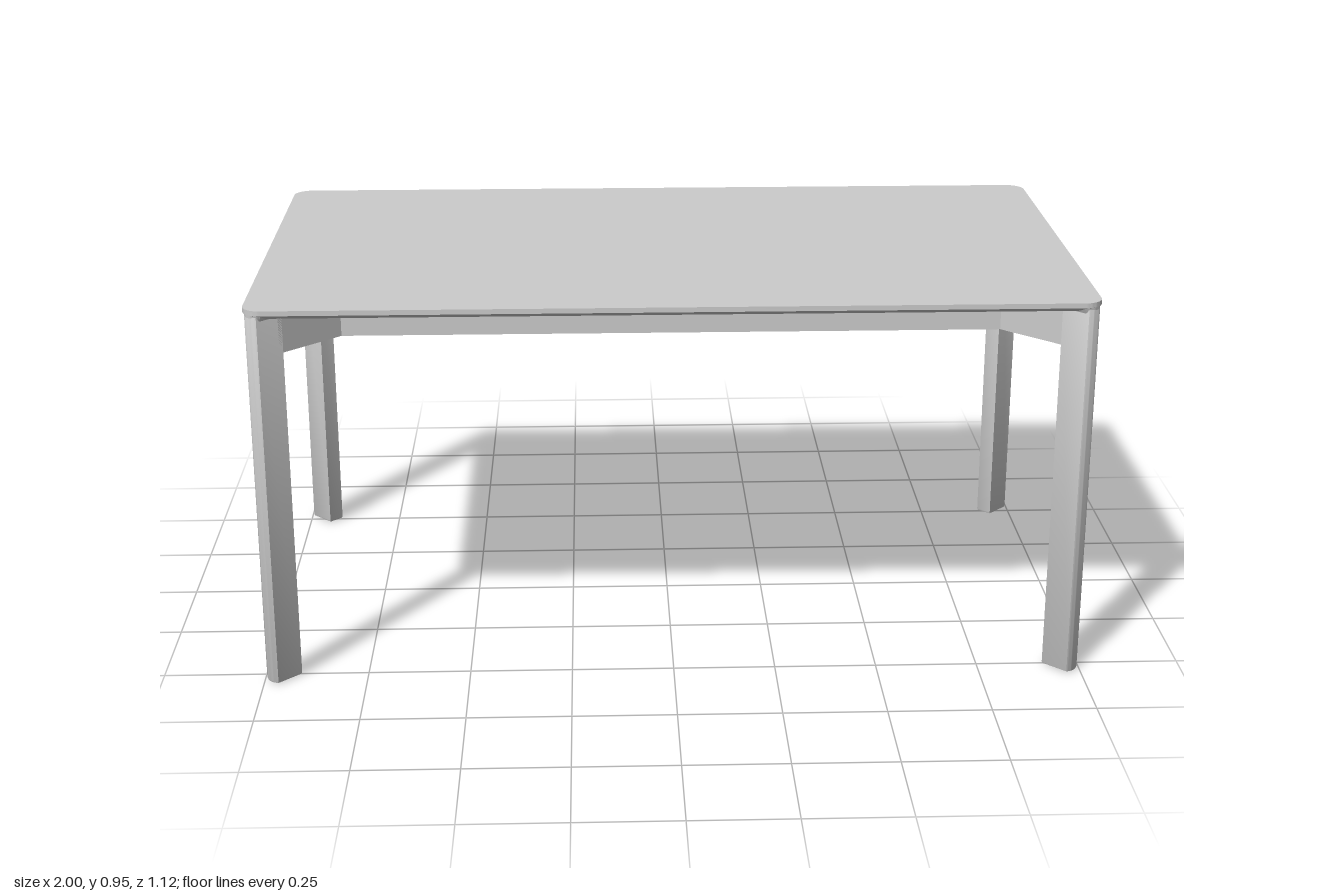
import * as THREE from 'three';
import { toCreasedNormals } from 'three/addons/utils/BufferGeometryUtils.js';

const HALF_X = 1, HALF_Z = 0.56;
const RAIL_BOTTOM = 0.832, TOP_UNDER = 0.926, TOP = 0.95;
const LEG_HALF = 0.022;
const material = new THREE.MeshStandardMaterial({ color: 0xcccccc });

// Extrude a plan shape upwards from y0 to y1
function extrudeUp(shape, y0, y1, options = {}) {
  const b = options.bevelThickness || 0;
  const geo = new THREE.ExtrudeGeometry(shape, {
    depth: y1 - y0 - 2 * b, bevelEnabled: false, curveSegments: 10, ...options,
  });
  geo.rotateX(-Math.PI / 2);
  geo.translate(0, y0 + b, 0);
  return geo;
}

// Draw the lowest ring of vertices inwards
function taperBottom(geo, sx, sz) {
  const p = geo.attributes.position;
  geo.computeBoundingBox();
  const low = geo.boundingBox.min.y + 1e-4;
  for (let i = 0; i < p.count; i++) {
    if (p.getY(i) < low) p.setXYZ(i, p.getX(i) * sx, p.getY(i), p.getZ(i) * sz);
  }
  return geo;
}

function part(name, geo) {
  const mesh = new THREE.Mesh(toCreasedNormals(geo, 0.5), material);
  mesh.name = name;
  return mesh;
}

function rectangle(Type, hx, hz) {
  return new Type([[-hx, -hz], [hx, -hz], [hx, hz], [-hx, hz]].map(([x, y]) => new THREE.Vector2(x, y)));
}

function roundedRectangle(hx, hz, r) {
  const s = new THREE.Shape();
  s.absarc(hx - r, hz - r, r, 0, Math.PI / 2);
  s.absarc(-hx + r, hz - r, r, Math.PI / 2, Math.PI);
  s.absarc(-hx + r, -hz + r, r, Math.PI, Math.PI * 1.5);
  s.absarc(hx - r, -hz + r, r, Math.PI * 1.5, Math.PI * 2);
  s.closePath();
  return s;
}

// Leg section: a plank pointing inwards along +x with a rounded outer end
function legSection(half, inner) {
  const centre = 0.0566, r = 0.036, a = Math.asin(half / r);
  const s = new THREE.Shape();
  s.moveTo(inner, -half);
  s.lineTo(inner, half);
  s.absarc(centre, 0, r, Math.PI - a, Math.PI + a);
  s.closePath();
  return s;
}

export function createModel() {
  const table = new THREE.Group();
  table.name = 'table';

  // Tabletop with an undercut edge
  const topGeo = extrudeUp(roundedRectangle(HALF_X, HALF_Z, 0.045), TOP_UNDER, TOP, { steps: 2 });
  taperBottom(topGeo, 1 - 0.02 / HALF_X, 1 - 0.02 / HALF_Z);
  table.add(part('tabletop', topGeo));

  // Inset rail frame
  const inset = 0.179, thick = 0.038;
  const frame = rectangle(THREE.Shape, HALF_X - inset, HALF_Z - inset);
  frame.holes.push(rectangle(THREE.Path, HALF_X - inset - thick, HALF_Z - inset - thick));
  table.add(part('railFrame', extrudeUp(frame, RAIL_BOTTOM, TOP_UNDER + 0.002)));

  // Corner legs, each with a diagonal arm reaching the frame
  for (const sx of [-1, 1]) {
    for (const sz of [-1, 1]) {
      const leg = new THREE.Group();
      leg.name = (sz > 0 ? 'front' : 'back') + (sx > 0 ? 'Left' : 'Right') + 'Leg';
      const post = extrudeUp(legSection(LEG_HALF, 0.101), 0, 0.936, {
        bevelEnabled: true, bevelThickness: 0.006, bevelSize: 0.006, bevelOffset: -0.006, bevelSegments: 2,
      });
      leg.add(part('legPost', post));

      // Flared head under the corner of the top
      const head = extrudeUp(legSection(0.03, 0.101), 0.922, 0.938);
      leg.add(part('legHead', taperBottom(head, 1, LEG_HALF / 0.03)));

      const arm = new THREE.BoxGeometry(0.2, TOP_UNDER + 0.002 - RAIL_BOTTOM, LEG_HALF * 2);
      arm.translate(0.19, (TOP_UNDER + 0.002 + RAIL_BOTTOM) / 2, 0);
      leg.add(part('legArm', arm));

      leg.position.set(sx * HALF_X, 0, sz * HALF_Z);
      leg.rotation.y = Math.atan2(sz, -sx);
      table.add(leg);
    }
  }
  return table;
}
